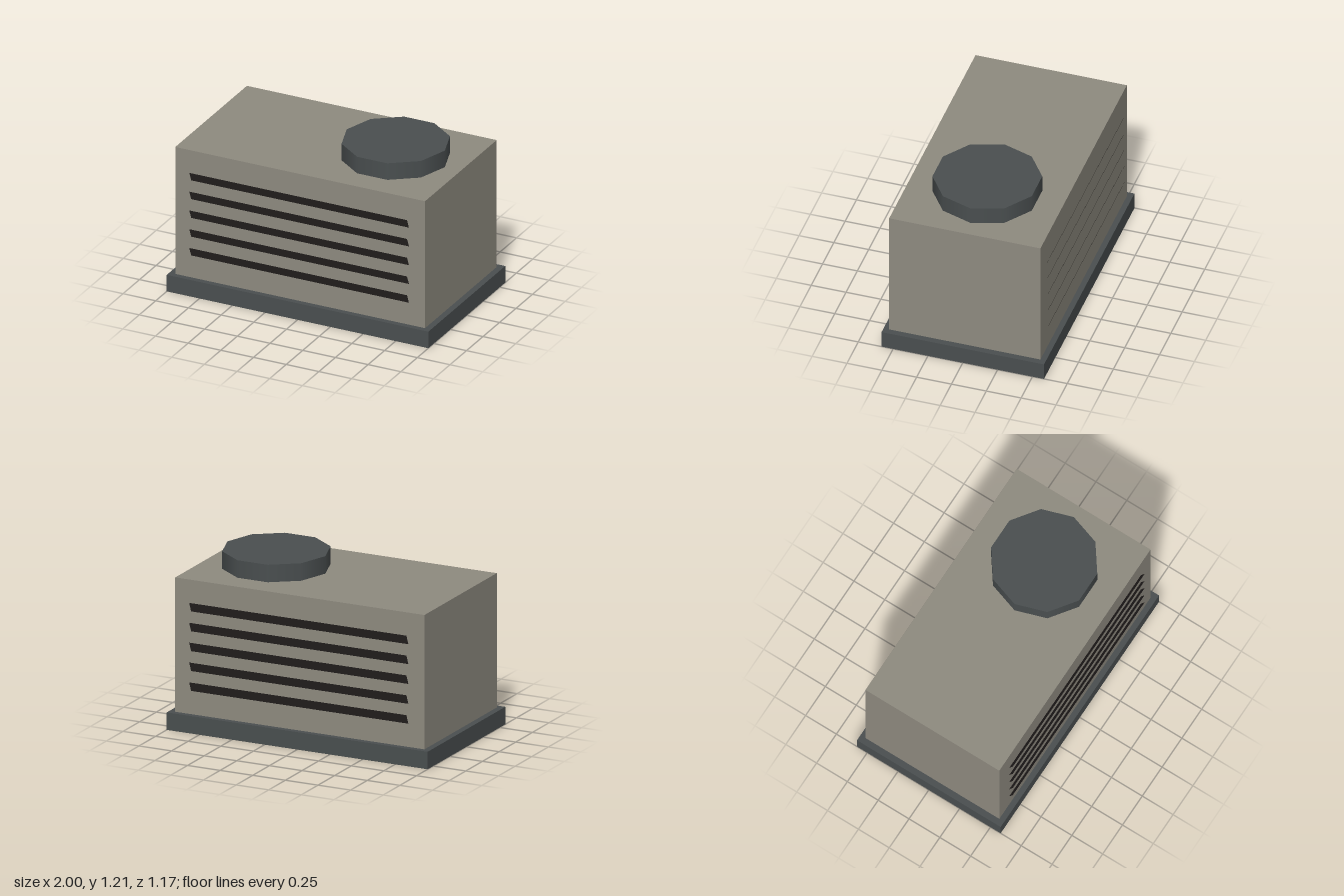
import * as THREE from 'three';

// Box that stands on y and has no underside
function openBox(width, height, depth, y) {
  const geometry = new THREE.BoxGeometry(width, height, depth);
  const index = Array.from(geometry.index.array);
  index.splice(18, 6);
  geometry.setIndex(index);
  geometry.clearGroups();
  geometry.translate(0, y + height / 2, 0);
  return geometry;
}

export function createModel() {
  const model = new THREE.Group();
  model.name = 'rooftopVentUnit';

  const casing = new THREE.MeshStandardMaterial({ name: 'warm grey casing', color: 0x8f8b80 });
  const steel = new THREE.MeshStandardMaterial({ name: 'dark steel', color: 0x4a4f50, side: THREE.DoubleSide });
  const slot = new THREE.MeshStandardMaterial({ name: 'black brown louver', color: 0x2d2827, side: THREE.DoubleSide });

  function add(name, geometry, material, parent = model) {
    const mesh = new THREE.Mesh(geometry, material);
    mesh.name = name;
    parent.add(mesh);
    return mesh;
  }

  // Plinth, hollow from below, and the main casing
  add('base', openBox(2, 0.125, 1.166, 0), steel);
  add('casing', openBox(1.91, 0.96, 1.086, 0.125), casing);

  // Ten-sided fan housing with a corner pointing along x
  const fan = new THREE.CylinderGeometry(0.375, 0.375, 0.125, 10, 1, false, Math.PI / 2);
  add('fanHousing', fan, steel).position.set(0.457, 1.1475, 0);

  // Louvers on front and back, leaning outward at the top
  const louver = new THREE.PlaneGeometry(1.665, 0.075);
  louver.rotateX(0.4);
  for (const side of ['front', 'back']) {
    const louvers = new THREE.Group();
    louvers.name = side + 'Louvers';
    if (side === 'back') louvers.rotation.y = Math.PI;
    for (let i = 0; i < 5; i++) {
      add('louver', louver, slot, louvers).position.set(0, 0.326 + i * 0.142, 0.559);
    }
    model.add(louvers);
  }

  return model;
}
